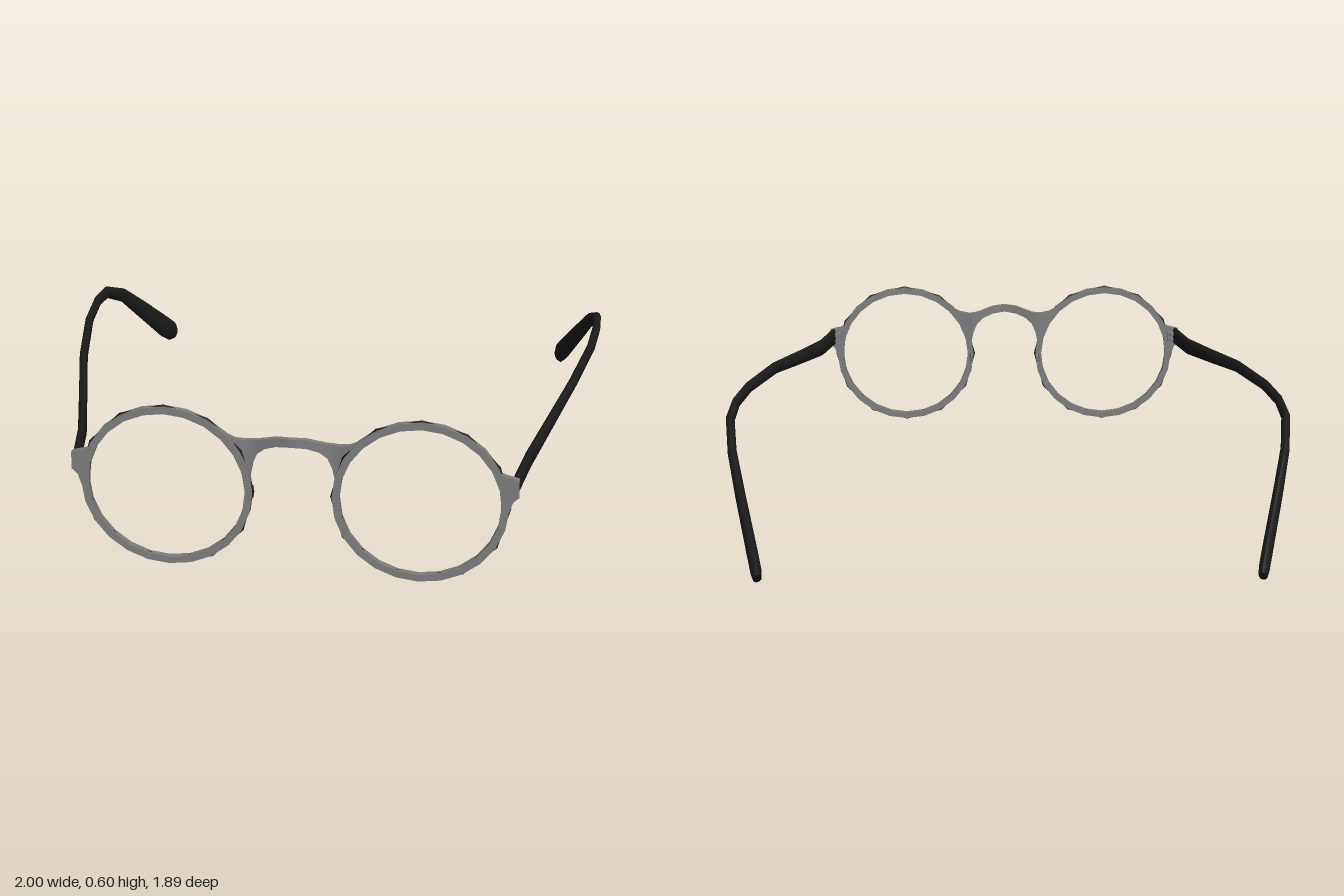
import * as THREE from 'three';
import { toCreasedNormals } from 'three/addons/utils/BufferGeometryUtils.js';

const metal = new THREE.MeshStandardMaterial({ name: 'grey metal', color: 0x7e7e7e });
const black = new THREE.MeshStandardMaterial({ name: 'black plastic', color: 0x1c1c1c });

const LENS_X = 0.425, LENS_Y = 0.302, FRONT_Z = 0.913;

function addMesh(parent, name, geometry, material) {
  const mesh = new THREE.Mesh(geometry, material);
  mesh.name = name;
  parent.add(mesh);
  return mesh;
}

// Sweeps an ellipse along stations of [x, y, z, halfWidth, halfHeight], closing both ends
function sweep(stations, sides) {
  const centres = stations.map(s => new THREE.Vector3(s[0], s[1], s[2]));
  const pos = [], index = [], last = stations.length - 1;
  const up = new THREE.Vector3(0, 1, 0);
  stations.forEach(([, , , w, h], i) => {
    const t = centres[Math.min(i + 1, last)].clone().sub(centres[Math.max(i - 1, 0)]).normalize();
    const side = t.clone().cross(up).normalize();
    const top = side.clone().cross(t);
    for (let j = 0; j < sides; j++) {
      const a = (j + 0.5) / sides * Math.PI * 2;
      const p = centres[i].clone().addScaledVector(side, Math.cos(a) * w).addScaledVector(top, Math.sin(a) * h);
      pos.push(p.x, p.y, p.z);
      if (i < last) {
        const k = (j + 1) % sides, r = i * sides, n = r + sides;
        index.push(r + j, n + j, r + k, r + k, n + j, n + k);
      }
    }
  });
  for (let j = 1; j < sides - 1; j++) {
    const e = last * sides;
    index.push(0, j, j + 1, e, e + j + 1, e + j);
  }
  const g = new THREE.BufferGeometry();
  g.setAttribute('position', new THREE.Float32BufferAttribute(pos, 3));
  g.setIndex(index);
  return toCreasedNormals(g, 0.9);
}

// Flat metal ring
function rimGeometry() {
  const section = [[0.267, -0.01], [0.292, -0.01], [0.292, 0.01], [0.267, 0.01], [0.267, -0.01]];
  const g = new THREE.LatheGeometry(section.map(([r, y]) => new THREE.Vector2(r, y)), 24);
  g.rotateX(Math.PI / 2);
  return toCreasedNormals(g, 0.6);
}

// Arched bridge, bowed forward in the middle and back beside the rims;
// each station is [x, top, bottom, z] from the middle outwards
function bridgeGeometry() {
  const stations = [[0, 0.514, 0.484, 0.931], [0.05, 0.51, 0.478, 0.92], [0.09, 0.497, 0.462, 0.908],
    [0.117, 0.489, 0.438, 0.9], [0.133, 0.487, 0.4, 0.897], [0.143, 0.486, 0.35, 0.897],
    [0.16, 0.486, 0.38, 0.9], [0.19, 0.491, 0.447, 0.905], [0.24, 0.516, 0.508, 0.911]];
  const n = stations.length - 1;
  const g = new THREE.BoxGeometry(2 * n, 2, 2, 2 * n, 1, 1);
  const p = g.attributes.position;
  for (let i = 0; i < p.count; i++) {
    const column = Math.round(p.getX(i));
    const [x, top, bottom, z] = stations[Math.abs(column)];
    p.setXYZ(i, Math.sign(column) * x, p.getY(i) > 0 ? top : bottom, z + p.getZ(i) * 0.008);
  }
  return toCreasedNormals(g, 0.5);
}

// End piece joining a rim to its temple
function endPieceGeometry(s) {
  const outline = [[0.672, 0.435], [0.7, 0.421], [0.745, 0.41], [0.747, 0.348], [0.728, 0.33],
    [0.713, 0.28], [0.69, 0.3], [0.688, 0.38]];
  const shape = new THREE.Shape(outline.map(([x, y]) => new THREE.Vector2(s * x, y)));
  const g = new THREE.ExtrudeGeometry(shape, { depth: 0.021, bevelEnabled: false });
  return g.translate(0, 0, FRONT_Z - 0.0105);
}

export function createModel() {
  const model = new THREE.Group();
  model.name = 'eyeglasses';

  addMesh(model, 'bridge', bridgeGeometry(), metal);

  for (const s of [1, -1]) {
    const half = new THREE.Group();
    half.name = s > 0 ? 'leftSide' : 'rightSide';
    model.add(half);

    addMesh(half, 'rim', rimGeometry(), metal).position.set(s * LENS_X, LENS_Y, FRONT_Z);

    // Faceted dark lining, just proud of the rim at its corners
    const lining = new THREE.TorusGeometry(0.2865, 0.0115, 6, 12).scale(1, 1, 0.7);
    addMesh(half, 'rimLining', lining, black).position.set(s * LENS_X, LENS_Y, FRONT_Z);

    addMesh(half, 'endPiece', endPieceGeometry(s), metal);

    // Hinge: a plate with two knuckles
    addMesh(half, 'hingePlate', new THREE.BoxGeometry(0.03, 0.04, 0.016), metal)
      .position.set(s * 0.714, 0.38, 0.896);
    for (const y of [0.368, 0.392]) {
      addMesh(half, 'hingeKnuckle', new THREE.CylinderGeometry(0.009, 0.009, 0.012, 10), metal)
        .position.set(s * 0.716, y, 0.881);
    }

    // Temple arm: bows outwards, then curves down and in behind the ear
    const arm = [
      [0.733, 0.38, 0.902, 0.014, 0.037], [0.766, 0.388, 0.72, 0.015, 0.034],
      [0.83, 0.42, 0.48, 0.015, 0.029], [0.9, 0.457, 0.22, 0.015, 0.024],
      [0.962, 0.476, -0.08, 0.015, 0.021], [0.982, 0.48, -0.27, 0.015, 0.021],
      [0.984, 0.466, -0.41, 0.016, 0.023], [0.96, 0.398, -0.56, 0.016, 0.028],
      [0.92, 0.29, -0.69, 0.017, 0.036], [0.865, 0.146, -0.855, 0.018, 0.045],
      [0.847, 0.103, -0.912, 0.018, 0.042], [0.841, 0.086, -0.932, 0.015, 0.027],
    ];
    addMesh(half, 'temple', sweep(arm.map(([x, ...rest]) => [s * x, ...rest]), 10), black);

    // Hooked wire that carries the nose pad
    const hook = [[0.147, 0.258, 0.906], [0.146, 0.296, 0.898], [0.142, 0.308, 0.886], [0.14, 0.3, 0.874],
      [0.142, 0.268, 0.874], [0.146, 0.257, 0.866], [0.148, 0.264, 0.86]];
    const path = new THREE.CatmullRomCurve3(hook.map(([x, y, z]) => new THREE.Vector3(s * x, y, z)));
    addMesh(half, 'nosePadWire', new THREE.TubeGeometry(path, 24, 0.004, 6), metal);
    addMesh(half, 'nosePadMount', new THREE.BoxGeometry(0.014, 0.012, 0.006), metal)
      .position.set(s * 0.147, 0.26, 0.862);
  }
  return model;
}
